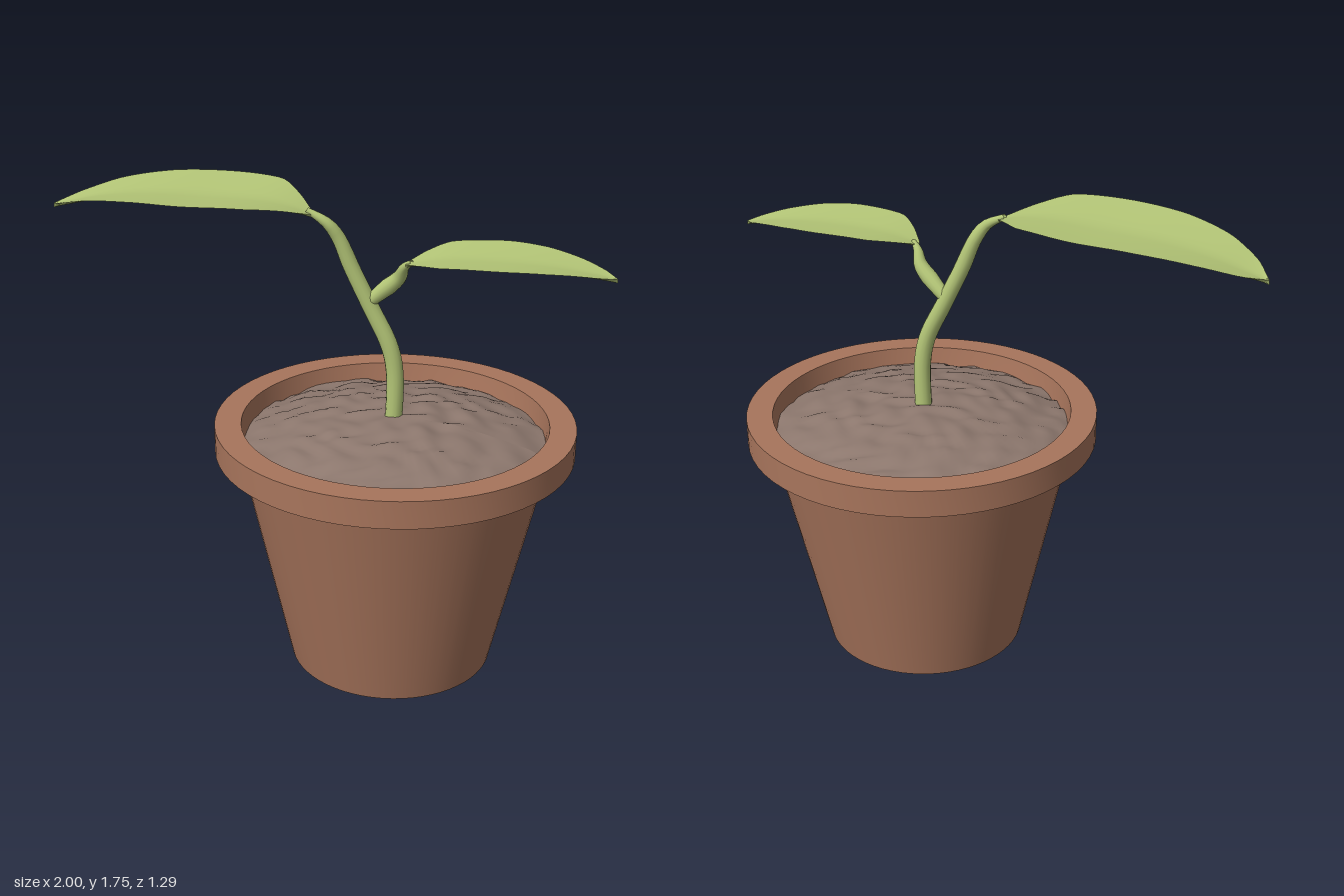
import * as THREE from 'three';
import { toCreasedNormals } from 'three/addons/utils/BufferGeometryUtils.js';

const POT_X = 0.255;

const material = (color, side = THREE.FrontSide) => new THREE.MeshStandardMaterial({ color, side });

function addMesh(parent, name, geometry, mat) {
  const mesh = new THREE.Mesh(geometry, mat);
  mesh.name = name;
  parent.add(mesh);
  return mesh;
}

// Tube whose radius follows a list of values spread evenly along the path
function taperedTube(points, radii, steps = 36, sides = 14) {
  const path = new THREE.CatmullRomCurve3(points.map(p => new THREE.Vector3(...p)));
  const geo = new THREE.TubeGeometry(path, steps, 1, sides);
  const pos = geo.attributes.position;
  const v = new THREE.Vector3();
  for (let i = 0; i <= steps; i++) {
    const centre = path.getPointAt(i / steps);
    const f = (i / steps) * (radii.length - 1);
    const k = Math.min(Math.floor(f), radii.length - 2);
    const r = THREE.MathUtils.lerp(radii[k], radii[k + 1], f - k);
    for (let j = 0; j <= sides; j++) {
      const n = i * (sides + 1) + j;
      v.fromBufferAttribute(pos, n).sub(centre).multiplyScalar(r).add(centre);
      pos.setXYZ(n, v.x, v.y, v.z);
    }
  }
  return geo;
}

// Thin folded blade; each section is [x, y, z, half width, edge lift]
function leafGeometry(sections, steps = 40, across = 10) {
  const spine = new THREE.CatmullRomCurve3(sections.map(s => new THREE.Vector3(s[0], s[1], s[2])));
  const shape = new THREE.CatmullRomCurve3(sections.map(s => new THREE.Vector3(s[3], s[4], 0)));
  const first = sections[0], last = sections[sections.length - 1];
  const side = new THREE.Vector3(last[0] - first[0], 0, last[2] - first[2])
    .normalize().cross(new THREE.Vector3(0, 1, 0));
  const ring = across * 2;
  const positions = [], index = [];
  for (let i = 0; i <= steps; i++) {
    const p = spine.getPoint(i / steps);
    const { x: width, y: lift } = shape.getPoint(i / steps);
    for (let j = 0; j < ring; j++) {
      // upper surface runs across, lower surface runs back
      const s = j <= across ? -1 + 2 * j / across : 1 - 2 * (j - across) / across;
      const drop = j <= across ? 0 : 0.012 * (1 - s * s);
      const w = Math.max(width, 0.001) * s;
      positions.push(p.x + side.x * w, p.y + lift * Math.abs(s) ** 1.2 - drop, p.z + side.z * w);
      if (i < steps) {
        const a = i * ring + j, b = i * ring + (j + 1) % ring;
        index.push(a, b, a + ring, b, b + ring, a + ring);
      }
    }
  }
  const geo = new THREE.BufferGeometry();
  geo.setAttribute('position', new THREE.Float32BufferAttribute(positions, 3));
  geo.setIndex(index);
  return toCreasedNormals(geo, 0.6);
}

// Low mound with uneven lumps
function soilGeometry(radius) {
  const geo = new THREE.RingGeometry(0, radius, 80, 32);
  geo.rotateX(-Math.PI / 2);
  const pos = geo.attributes.position;
  for (let i = 0; i < pos.count; i++) {
    const x = pos.getX(i), z = pos.getZ(i);
    const r = Math.hypot(x, z) / radius;
    const lumps = Math.sin(19 * x + 3 * Math.sin(13 * z)) * Math.sin(27 * z + 2 * Math.sin(17 * x))
      + 0.6 * Math.sin(41 * x + 23 * z + 2 * Math.sin(31 * z));
    pos.setY(i, 0.952 - 0.085 * r * r + 0.007 * lumps);
  }
  geo.computeVertexNormals();
  return geo;
}

export function createModel() {
  const model = new THREE.Group();
  model.name = 'pottedSeedling';
  const clay = material(0xa8755c);
  const earth = material(0x8c776d, THREE.DoubleSide);
  const green = material(0xb4c677, THREE.DoubleSide);

  // Hollow pot with a square rim
  const profile = [
    [0, 0], [0.375, 0], [0.56, 0.835], [0.645, 0.835], [0.645, 0.935],
    [0.55, 0.935], [0.532, 0.82], [0.36, 0.06], [0, 0.06],
  ].map(p => new THREE.Vector2(...p));
  const pot = addMesh(model, 'pot', toCreasedNormals(new THREE.LatheGeometry(profile, 64), 0.5), clay);
  pot.position.x = POT_X;

  const soil = addMesh(model, 'soil', soilGeometry(0.54), earth);
  soil.position.x = POT_X;

  // Main stem and the side branch
  const plant = new THREE.Group();
  plant.name = 'plant';
  model.add(plant);
  addMesh(plant, 'stem', taperedTube([
    [0.25, 0.88, 0.005], [0.252, 1.12, 0.005], [0.232, 1.22, 0.01], [0.165, 1.36, 0.02],
    [0.1, 1.5, 0.035], [0.055, 1.61, 0.05], [0.02, 1.66, 0.065], [-0.05, 1.7, 0.07],
  ], [0.031, 0.031, 0.031, 0.031, 0.03, 0.029, 0.028, 0.023, 0.01]), green);
  addMesh(plant, 'branch', taperedTube([
    [0.155, 1.375, 0.02], [0.21, 1.425, 0.022], [0.268, 1.48, 0.03], [0.292, 1.525, 0.05], [0.32, 1.551, 0.065],
  ], [0.022, 0.026, 0.03, 0.026, 0.018, 0.008], 20), green);

  // Leaves
  addMesh(plant, 'largeLeaf', leafGeometry([
    [-0.03, 1.688, 0.072, 0.015, 0.002], [-0.11, 1.712, 0.072, 0.115, 0.01],
    [-0.21, 1.726, 0.073, 0.213, 0.02], [-0.42, 1.725, 0.074, 0.247, 0.022],
    [-0.62, 1.719, 0.076, 0.226, 0.021], [-0.8, 1.695, 0.078, 0.17, 0.019],
    [-0.93, 1.662, 0.08, 0.088, 0.012], [-1, 1.642, 0.08, 0, 0.004],
  ]), green);
  addMesh(plant, 'smallLeaf', leafGeometry([
    [0.3, 1.542, 0.067, 0.012, 0.002], [0.36, 1.559, 0.062, 0.09, 0.008],
    [0.44, 1.572, 0.055, 0.157, 0.014], [0.62, 1.577, 0.034, 0.175, 0.016],
    [0.76, 1.571, 0.016, 0.152, 0.015], [0.88, 1.556, 0, 0.1, 0.012],
    [0.96, 1.541, -0.01, 0.047, 0.007], [1, 1.533, -0.015, 0, 0.002],
  ]), green);

  return model;
}
